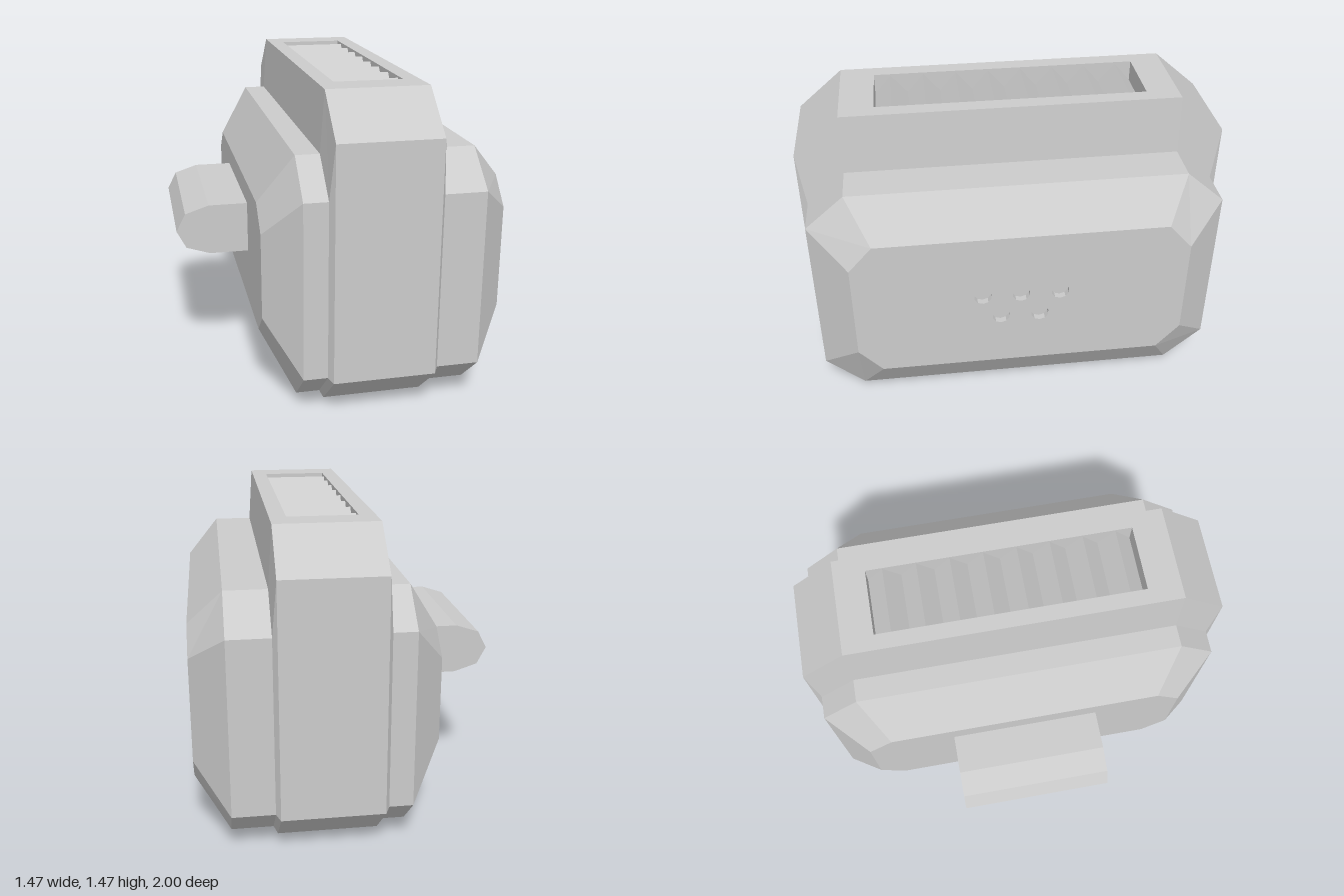
import * as THREE from 'three';

const material = new THREE.MeshStandardMaterial({ color: 0xcccccc, flatShading: true });
const openMaterial = new THREE.MeshStandardMaterial({ color: 0xcccccc, flatShading: true, side: THREE.DoubleSide });

function part(name, geometry, mat = material) {
  const mesh = new THREE.Mesh(geometry, mat);
  mesh.name = name;
  return mesh;
}

// Chamfered rectangle as [z, y] corners: half width, flat half width, bottom/top, side edge bottom/top
const octagon = (w, c, y0, y1, ya, yb) => [
  [w, ya], [w, yb], [c, y1], [-c, y1], [-w, yb], [-w, ya], [-c, y0], [c, y0],
];

// Skin between consecutive rings along x; skip(i, j) leaves a panel open
function loft(rings, skip = () => false) {
  const pos = [];
  for (let i = 0; i < rings.length - 1; i++) {
    const [a, b] = [rings[i], rings[i + 1]];
    for (let j = 0; j < 8; j++) {
      if (skip(i, j)) continue;
      const k = (j + 1) % 8;
      const p = (r, n) => [r.x, r.pts[n][1], r.pts[n][0]];
      pos.push(...p(a, j), ...p(b, j), ...p(b, k), ...p(a, j), ...p(b, k), ...p(a, k));
    }
  }
  const g = new THREE.BufferGeometry();
  g.setAttribute('position', new THREE.Float32BufferAttribute(pos, 3));
  g.computeVertexNormals();
  return g;
}

const shapeOf = (pts) => new THREE.Shape(pts.map(([u, v]) => new THREE.Vector2(u, v)));
const rect = (x0, x1, y0, y1) => [[x0, y0], [x1, y0], [x1, y1], [x0, y1]];

export function createModel() {
  const group = new THREE.Group();
  const TOP = 1.47;

  // Main shell with a raised centre band
  const body = octagon(0.967, 0.785, 0.04, 1.19, 0.205, 1.03);
  const band = octagon(1, 0.785, 0, TOP, 0.19, 1.285);
  const rightEnd = octagon(0.79, 0.67, 0.33, 0.95, 0.44, 0.84);
  const leftEnd = octagon(0.785, 0.675, 0.275, 1.015, 0.4, 0.89);
  const rings = [
    [-0.395, rightEnd], [-0.24, body], [-0.13, body], [-0.11, band],
    [0.36, band], [0.38, body], [0.575, body], [0.735, leftEnd],
  ].map(([x, pts]) => ({ x, pts }));
  group.add(part('shell', loft(rings, (i, j) => i === 3 && j === 2)));

  // Flat end panel on the handle side
  const back = new THREE.ShapeGeometry(shapeOf(rightEnd));
  back.rotateY(-Math.PI / 2).translate(-0.395, 0, 0);
  group.add(part('handlePanel', back));

  // Face panel with five small round ports
  const ports = [[0.185, 0.685], [0.005, 0.685], [-0.18, 0.685], [0.1, 0.56], [-0.085, 0.56]];
  const R = 0.042, DEPTH = 0.03;
  const face = shapeOf(leftEnd.map(([z, y]) => [-z, y]));
  for (const [z, y] of ports) {
    const ring = [];
    for (let i = 0; i < 10; i++) {
      const t = (i / 10) * Math.PI * 2;
      ring.push(new THREE.Vector2(-z + R * Math.sin(t), y + R * Math.cos(t)));
    }
    face.holes.push(new THREE.Path(ring));
    const wall = new THREE.CylinderGeometry(R, R, DEPTH, 10, 1, true);
    wall.rotateX(Math.PI / 2).rotateY(Math.PI / 2).translate(0.735 - DEPTH / 2, y, z);
    group.add(part('portWall', wall, openMaterial));
    const floor = new THREE.CircleGeometry(R, 10, Math.PI / 2);
    floor.rotateY(Math.PI / 2).translate(0.735 - DEPTH, y, z);
    group.add(part('portFloor', floor));
  }
  group.add(part('facePanel', new THREE.ShapeGeometry(face).rotateY(Math.PI / 2).translate(0.735, 0, 0)));

  // Top panel with the vent opening
  const [vx0, vx1, vz0, vz1] = [-0.035, 0.285, -0.635, 0.625];
  const plate = shapeOf(rect(-0.11, 0.36, -0.785, 0.785));
  plate.holes.push(new THREE.Path(rect(vx0, vx1, -vz1, -vz0).map(([u, v]) => new THREE.Vector2(u, v))));
  group.add(part('topPanel', new THREE.ShapeGeometry(plate).rotateX(-Math.PI / 2).translate(0, TOP, 0)));

  // Zigzag vent slats
  const ventDepth = 0.1, slats = 8, pitch = (vz1 - vz0) / slats;
  const zigzag = [[-vz0, TOP - ventDepth - 0.03]];
  for (let i = 0; i < slats; i++) {
    const z = vz0 + i * pitch;
    zigzag.push([-z, TOP - ventDepth], [-(z + pitch / 2), TOP - 0.008]);
  }
  zigzag.push([-vz1, TOP - ventDepth], [-vz1, TOP - ventDepth - 0.03]);
  const slatGeo = new THREE.ExtrudeGeometry(shapeOf(zigzag), { depth: vx1 - vx0, bevelEnabled: false });
  group.add(part('ventSlats', slatGeo.rotateY(Math.PI / 2).translate(vx0, 0, 0)));

  // Vent walls
  const wallY = TOP - ventDepth / 2;
  for (const x of [vx0, vx1]) {
    const g = new THREE.PlaneGeometry(vz1 - vz0, ventDepth).rotateY(Math.PI / 2);
    group.add(part('ventSideWall', g.translate(x, wallY, (vz0 + vz1) / 2), openMaterial));
  }
  for (const z of [vz0, vz1]) {
    const g = new THREE.PlaneGeometry(vx1 - vx0, ventDepth);
    group.add(part('ventEndWall', g.translate((vx0 + vx1) / 2, wallY, z), openMaterial));
  }

  // Blunt tongue handle
  const tongue = shapeOf([
    [-0.38, 0.603], [-0.38, 0.847], [-0.58, 0.847], [-0.693, 0.81],
    [-0.737, 0.725], [-0.693, 0.64], [-0.58, 0.603],
  ]);
  const tongueGeo = new THREE.ExtrudeGeometry(tongue, { depth: 0.725, bevelEnabled: false });
  group.add(part('tongueHandle', tongueGeo.translate(0, 0, -0.365)));

  return group;
}
